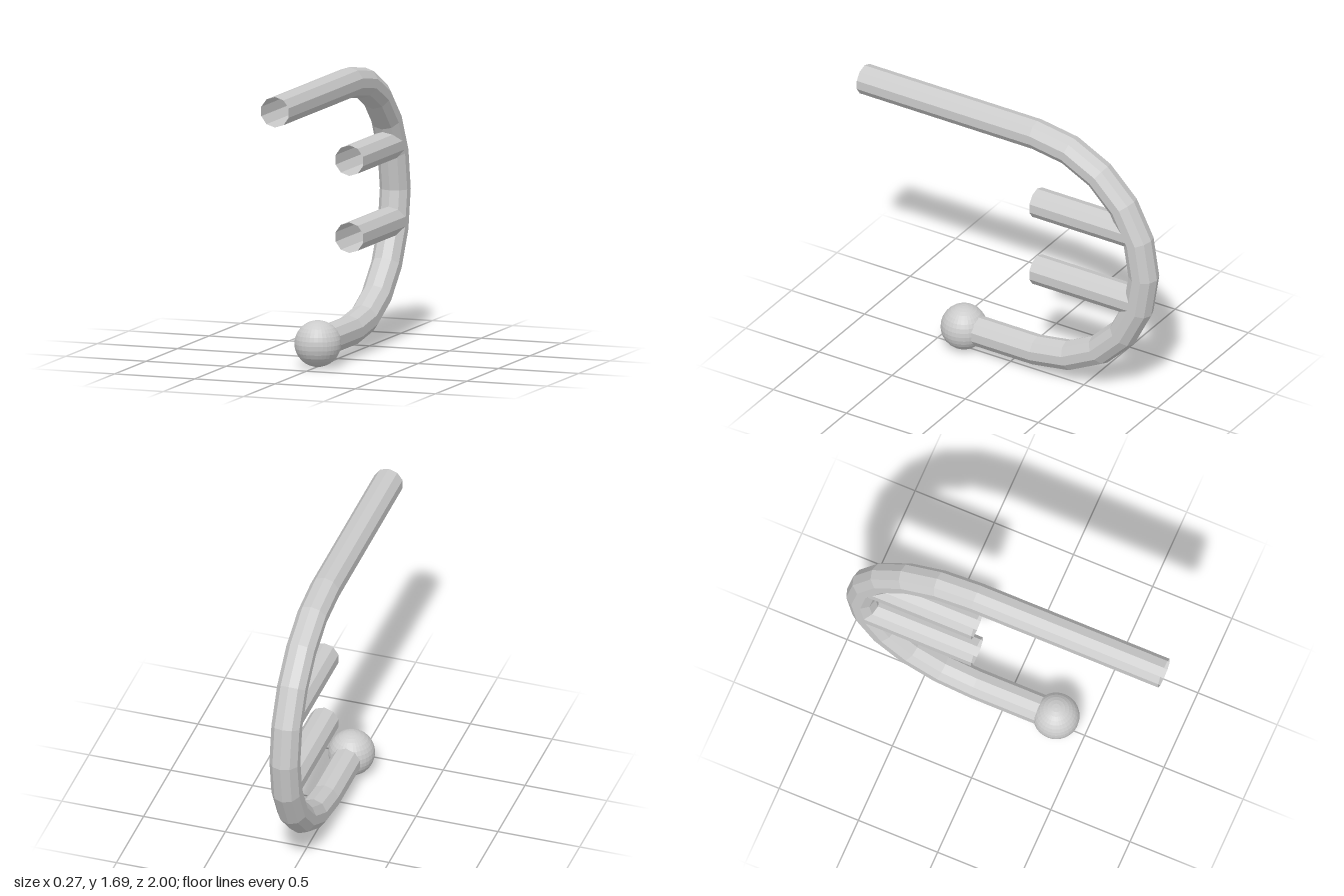
import * as THREE from 'three';

const SIDES = 10, R = 0.09;          // pipe cross-section
const BEND = 0.73, CY = 0.867, CZ = -0.18; // centreline of the half-circle bend

const material = new THREE.MeshStandardMaterial({ color: 0xcccccc, flatShading: true, side: THREE.DoubleSide });

// Open pipe through stations { y, z, t }, t being the tilt of the ring about x
function pipe(name, stations) {
  const positions = [], index = [];
  for (const { y, z, t } of stations) {
    for (let j = 0; j < SIDES; j++) {
      const a = (j / SIDES) * Math.PI * 2, n = R * Math.cos(a);
      positions.push(R * Math.sin(a), y + n * Math.cos(t), z - n * Math.sin(t));
    }
  }
  for (let i = 0; i < stations.length - 1; i++) {
    for (let j = 0; j < SIDES; j++) {
      const k = (j + 1) % SIDES;
      const a = i * SIDES + j, b = i * SIDES + k, c = a + SIDES, d = b + SIDES;
      index.push(a, b, c, b, d, c);
    }
  }
  const geometry = new THREE.BufferGeometry();
  geometry.setAttribute('position', new THREE.Float32BufferAttribute(positions, 3));
  geometry.setIndex(index);
  geometry.computeVertexNormals();
  const mesh = new THREE.Mesh(geometry, material);
  mesh.name = name;
  return mesh;
}

export function createModel() {
  const group = new THREE.Group();
  group.name = 'bentPipeHook';

  // Main pipe: long top arm, half-circle bend, short bottom arm
  const path = [{ y: CY + BEND, z: 1, t: 0 }];
  for (let i = 0; i <= 10; i++) {
    const t = (i / 10) * Math.PI;
    path.push({ y: CY + BEND * Math.cos(t), z: CZ - BEND * Math.sin(t), t });
  }
  path.push({ y: CY - BEND, z: 0.3, t: Math.PI });
  group.add(pipe('mainPipe', path));

  // Two short prongs reaching forward from the bend
  for (const [name, y] of [['upperProng', 1.137], ['lowerProng', 0.684]]) {
    group.add(pipe(name, [{ y, z: CZ, t: 0 }, { y, z: -0.86, t: 0 }]));
  }

  // Ball on the end of the bottom arm
  const ball = new THREE.Mesh(new THREE.SphereGeometry(0.136, 32, 16), material);
  ball.name = 'endBall';
  ball.position.set(0, CY - BEND, 0.32);
  group.add(ball);

  return group;
}
